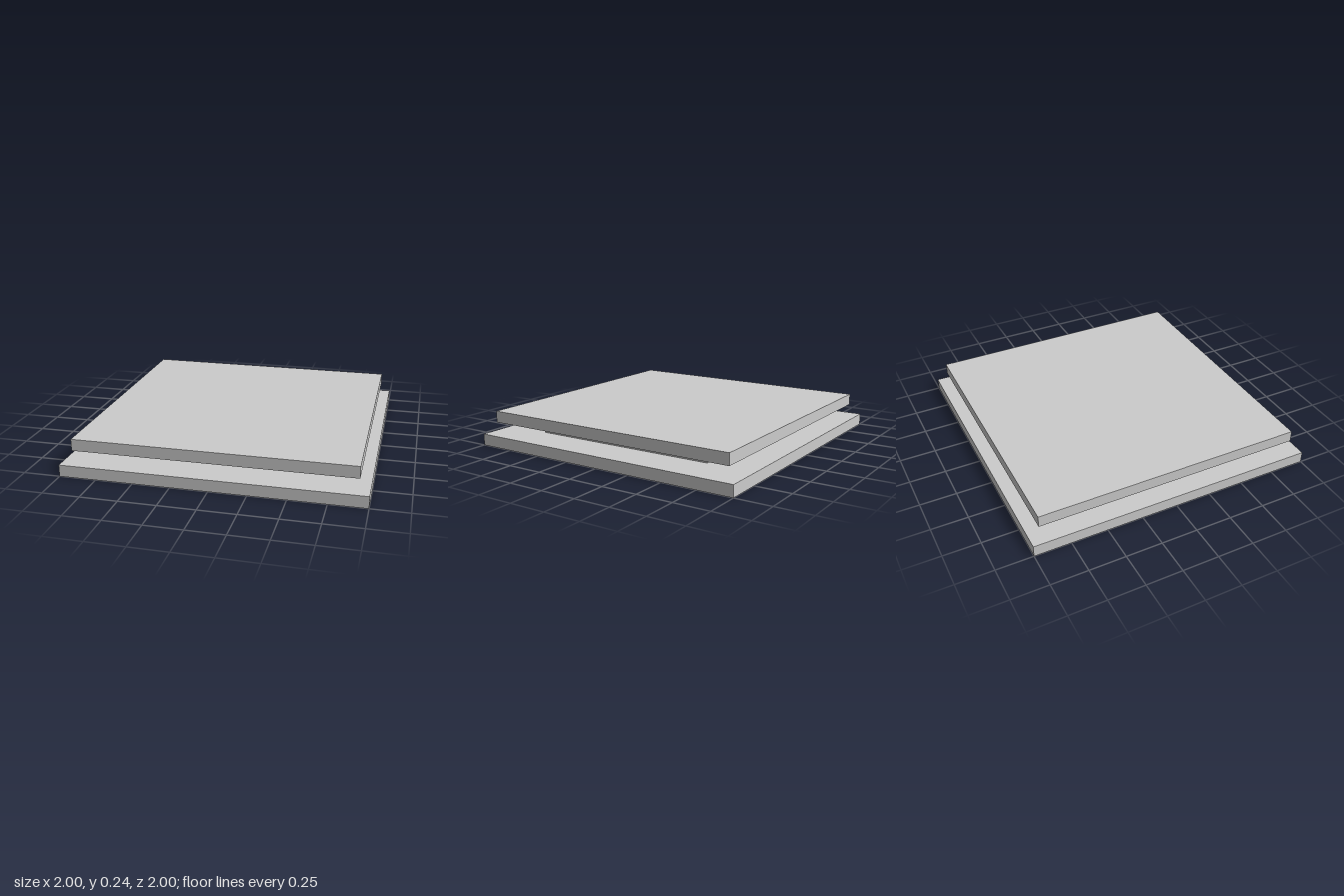
import * as THREE from 'three';

export function createModel() {
  const model = new THREE.Group();
  const material = new THREE.MeshStandardMaterial({ color: 0xcccccc, flatShading: true });

  // Box given by its size, bottom height and sideways position
  function slab(name, width, depth, bottom, top, x = 0, parent = model) {
    const mesh = new THREE.Mesh(new THREE.BoxGeometry(width, top - bottom, depth), material);
    mesh.name = name;
    mesh.position.set(x, (bottom + top) / 2, 0);
    parent.add(mesh);
  }

  // Central stack, from the bottom up
  slab('substrate', 2, 2, 0, 0.08);
  slab('interposer', 1.467, 1.333, 0.08, 0.1);
  slab('centralDie', 0.8, 0.667, 0.1, 0.16);
  slab('lid', 1.867, 1.867, 0.16, 0.24);

  // Layered stacks on both sides of the central die
  const levels = [0.1, 0.115, 0.13, 0.136];
  for (const side of [-1, 1]) {
    const stack = new THREE.Group();
    stack.name = side > 0 ? 'leftStack' : 'rightStack';
    for (let i = 0; i < levels.length - 1; i++) {
      slab('stackLayer' + (i + 1), 0.265, 0.6, levels[i], levels[i + 1], side * 0.5325, stack);
    }
    model.add(stack);
  }
  return model;
}
